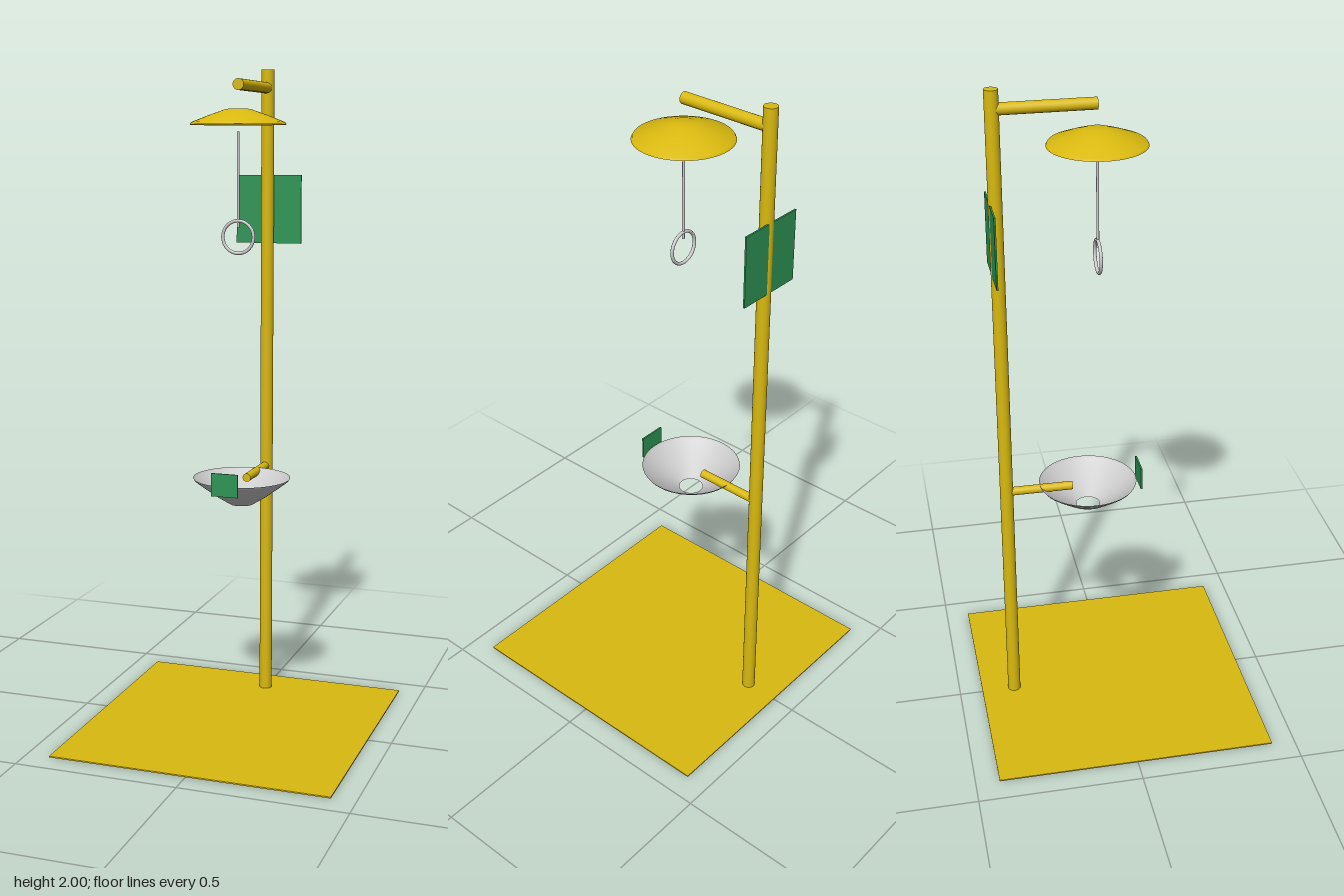
import * as THREE from 'three';

const material = (color) => new THREE.MeshStandardMaterial({ color, side: THREE.DoubleSide });

export function createModel() {
  const model = new THREE.Group();
  const yellow = material(0xd9b90f);
  const green = material(0x2e9555);
  const grey = material(0xcccccc);

  const POLE_Z = -0.323;
  const HEAD_Z = -0.037;
  const BOWL_Z = -0.072;

  const add = (name, geometry, mat, x, y, z) => {
    const mesh = new THREE.Mesh(geometry, mat);
    mesh.name = name;
    mesh.position.set(x, y, z);
    model.add(mesh);
    return mesh;
  };

  // horizontal pipe reaching forward from the pole
  const addArm = (name, radius, y, zEnd) => {
    const length = zEnd - POLE_Z;
    const pipe = new THREE.CylinderGeometry(radius, radius, length, 24).rotateX(Math.PI / 2);
    add(name, pipe, yellow, 0, y, POLE_Z + length / 2);
  };

  // turned thin shell from [radius, height] points
  const shell = (points) =>
    new THREE.LatheGeometry(points.map(([r, y]) => new THREE.Vector2(r, y)), 48);

  // floor plate and upright
  add('basePlate', new THREE.BoxGeometry(0.855, 0.004, 0.855), yellow, 0, 0.002, 0);
  add('pole', new THREE.CylinderGeometry(0.02, 0.02, 2, 32), yellow, 0, 1, POLE_Z);

  // shower arm and open domed head
  addArm('showerArm', 0.017, 1.945, HEAD_Z + 0.001);
  add('showerHead', shell([[0.142, 0], [0.138, 0.007], [0.09, 0.026], [0.036, 0.045], [0, 0.046]]),
    yellow, 0, 1.829, HEAD_Z);

  // pull rod with ring handle
  add('pullRod', new THREE.CylinderGeometry(0.004, 0.004, 0.28, 12), grey, 0, 1.67, HEAD_Z);
  add('pullRing', new THREE.TorusGeometry(0.048, 0.005, 12, 40), grey, 0, 1.502, HEAD_Z);

  // basin with drain opening, carried by a short arm
  addArm('basinArm', 0.013, 0.755, -0.12);
  add('basin', shell([[0.036, 0], [0.075, 0.024], [0.115, 0.053], [0.145, 0.076], [0.149, 0.083]]),
    grey, 0, 0.684, BOWL_Z);

  // sign behind the pole and push flag at the basin front
  add('signPanel', new THREE.BoxGeometry(0.212, 0.212, 0.005), green, 0, 1.573, -0.338);
  add('pushFlag', new THREE.BoxGeometry(0.084, 0.07, 0.005), green, 0, 0.775, 0.088);

  return model;
}
